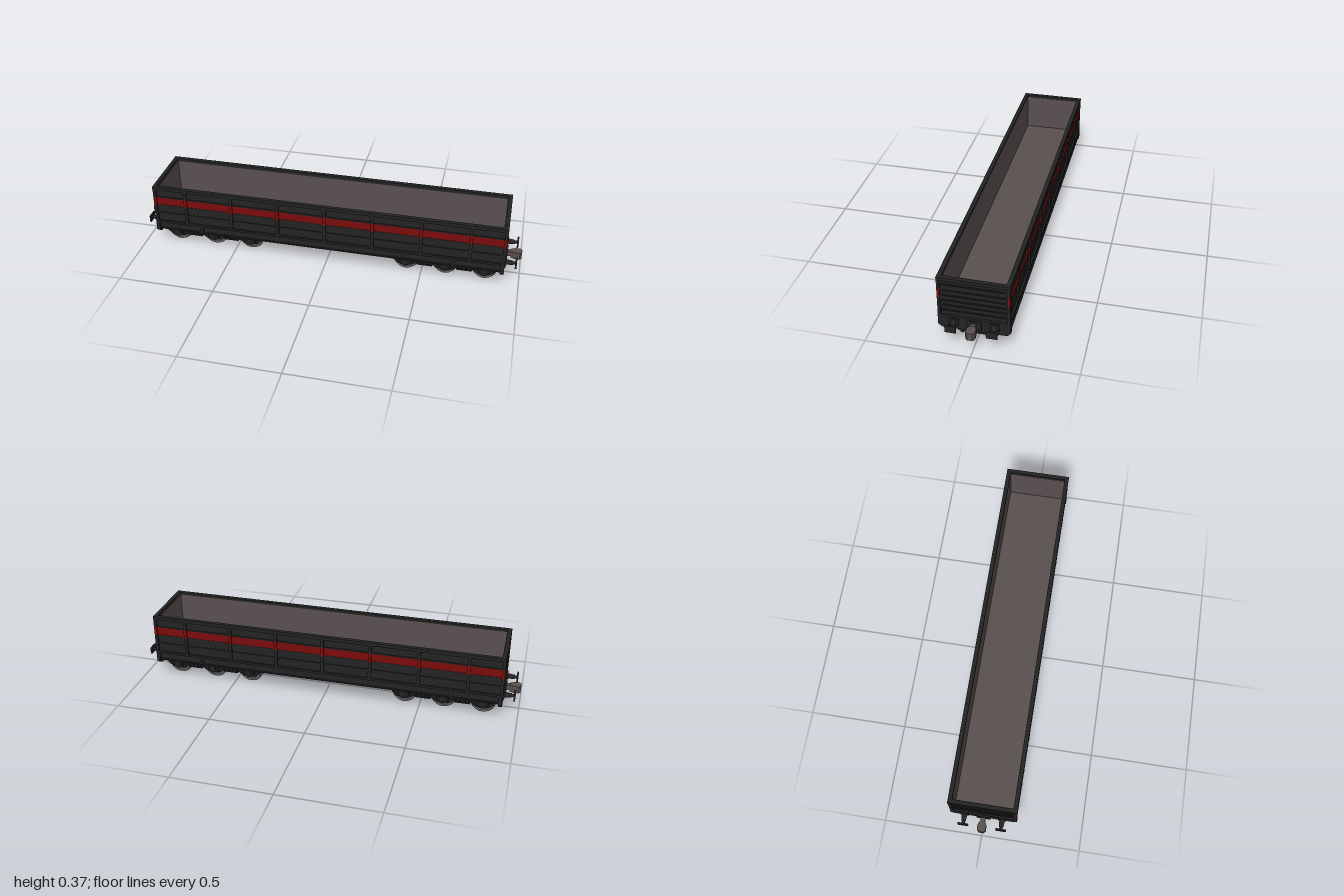
import * as THREE from 'three';

const mat = (name, color, side = THREE.FrontSide) => {
  const m = new THREE.MeshStandardMaterial({ color, side });
  m.name = name;
  return m;
};

export function createModel() {
  const wagon = new THREE.Group();
  wagon.name = 'gondolaWagon';
  const black = mat('blackPaint', 0x242424);
  const dark = mat('bogieBlack', 0x1b1b1b);
  const red = mat('redStripe', 0x7c0c0c);
  const grey = mat('interiorGrey', 0x5a5050);
  const steel = mat('wheelSteel', 0x6a6868);

  const add = (parent, name, geo, m, x = 0, y = 0, z = 0) => {
    const mesh = new THREE.Mesh(geo, m);
    mesh.name = name;
    mesh.position.set(x, y, z);
    parent.add(mesh);
    return mesh;
  };
  // Box given by its lower and upper limits
  const span = (parent, name, m, x0, x1, y0, y1, z0, z1) =>
    add(parent, name, new THREE.BoxGeometry(x1 - x0, y1 - y0, z1 - z0), m,
      (x0 + x1) / 2, (y0 + y1) / 2, (z0 + z1) / 2);
  // Extruded outline, centred on its own depth
  const plate = (points, depth) => {
    const shape = new THREE.Shape(points.map(p => new THREE.Vector2(...p)));
    return new THREE.ExtrudeGeometry(shape, { depth, bevelEnabled: false }).translate(0, 0, -depth / 2);
  };

  // Floor with grey underside
  span(wagon, 'floor', grey, -0.905, 0.905, 0.14, 0.158, -0.15, 0.15);

  // Side walls; each group is built facing +z and turned for the far side
  for (const turn of [0, Math.PI]) {
    const side = new THREE.Group();
    side.name = turn ? 'backSide' : 'frontSide';
    side.rotation.y = turn;
    wagon.add(side);
    span(side, 'wall', black, -0.912, 0.912, 0.155, 0.352, 0.151, 0.158);
    span(side, 'wallLining', grey, -0.9, 0.9, 0.158, 0.352, 0.148, 0.1515);
    span(side, 'topRail', black, -0.92, 0.92, 0.348, 0.365, 0.148, 0.169);
    span(side, 'stripe', red, -0.919, 0.919, 0.255, 0.303, 0.157, 0.161);
    for (const y of [0.207, 0.255, 0.303])
      span(side, 'plankRib', black, -0.915, 0.915, y - 0.003, y + 0.003, 0.157, 0.163);
    span(side, 'lowerRail', black, -0.92, 0.92, 0.148, 0.16, 0.151, 0.167);
    span(side, 'sill', black, -0.915, 0.915, 0.11, 0.15, 0.146, 0.16);
    span(side, 'sillFlange', black, -0.915, 0.915, 0.108, 0.115, 0.135, 0.166);
    for (const x of [-0.912, -0.745, -0.497, -0.248, 0, 0.248, 0.497, 0.745, 0.912]) {
      const w = 0.008;
      span(side, 'post', black, x - w, x + w, 0.155, 0.254, 0.155, 0.168);
      span(side, 'postStripe', red, x - w, x + w, 0.254, 0.304, 0.155, 0.168);
      span(side, 'post', black, x - w, x + w, 0.304, 0.35, 0.155, 0.168);
    }
    for (const x of [-0.665, 0.665])
      span(side, 'sillBracket', black, x - 0.008, x + 0.008, 0.11, 0.15, 0.155, 0.167);
  }

  // Ends with headstock, buffers and coupler, built facing +x
  for (const turn of [0, Math.PI]) {
    const end = new THREE.Group();
    end.name = turn ? 'rightEnd' : 'leftEnd';
    end.rotation.y = turn;
    wagon.add(end);
    span(end, 'endWall', black, 0.901, 0.91, 0.15, 0.352, -0.155, 0.155);
    span(end, 'endLining', grey, 0.897, 0.9015, 0.158, 0.352, -0.15, 0.15);
    span(end, 'endTopRail', black, 0.9, 0.92, 0.348, 0.365, -0.168, 0.168);
    for (const y of [0.182, 0.21, 0.237, 0.265, 0.293, 0.325])
      span(end, 'endRib', black, 0.905, 0.916, y - 0.003, y + 0.003, -0.145, 0.145);
    const head = plate([[-0.169, 0.155], [-0.169, 0.102], [-0.152, 0.086], [0.152, 0.086],
      [0.169, 0.102], [0.169, 0.155]], 0.02);
    add(end, 'headstock', head.rotateY(Math.PI / 2), black, 0.91);
    for (const z of [-0.095, 0.095]) {
      span(end, 'bufferBase', black, 0.918, 0.926, 0.107, 0.147, z - 0.022, z + 0.022);
      add(end, 'bufferSleeve', new THREE.CylinderGeometry(0.011, 0.014, 0.035, 16).rotateZ(-Math.PI / 2),
        black, 0.942, 0.127, z);
      add(end, 'bufferStem', new THREE.CylinderGeometry(0.008, 0.008, 0.02, 12).rotateZ(Math.PI / 2),
        black, 0.965, 0.127, z);
      span(end, 'bufferHead', black, 0.971, 0.979, 0.109, 0.145, z - 0.026, z + 0.026);
    }
    span(end, 'couplerFrame', black, 0.918, 0.928, 0.097, 0.146, -0.035, 0.035);
    span(end, 'couplerShank', grey, 0.92, 0.962, 0.108, 0.134, -0.012, 0.012);
    const knuckle = plate([[0.945, -0.012], [0.965, -0.022], [0.99, -0.022], [1, -0.012],
      [1, 0.012], [0.99, 0.022], [0.965, 0.022], [0.945, 0.012]], 0.038);
    add(end, 'couplerHead', knuckle.rotateX(Math.PI / 2), grey, 0, 0.119);
  }

  // Fish-bellied underframe between the bogies
  const belly = [[-0.36, 0.142], [-0.36, 0.083], [-0.27, 0.055], [0.27, 0.055], [0.36, 0.083], [0.36, 0.142]];
  for (const z of [-0.06, 0.06]) {
    add(wagon, 'centreBeam', plate(belly, 0.01), grey, 0, 0, z);
    span(wagon, 'beamFlange', grey, -0.27, 0.27, 0.052, 0.058, z - 0.014, z + 0.014);
  }
  span(wagon, 'draftSill', grey, -0.9, 0.9, 0.095, 0.142, -0.035, 0.035);
  for (const x of [-0.27, 0, 0.27]) {
    const arm = plate([[-0.148, 0.142], [-0.148, 0.112], [-0.065, 0.06], [0.065, 0.06],
      [0.148, 0.112], [0.148, 0.142]], 0.01);
    add(wagon, 'crossBeam', arm.rotateY(Math.PI / 2), grey, x);
    for (const z of [-0.068, 0.068])
      span(wagon, 'beamStiffener', black, x - 0.007, x + 0.007, 0.062, 0.14, z - 0.004, z + 0.004);
  }
  for (const x of [-0.135, 0.135])
    span(wagon, 'crossBeam', grey, x - 0.004, x + 0.004, 0.112, 0.142, -0.147, 0.147);

  // Wheel profile: flange on the inner side, raised rim and hub
  const wheelGeo = new THREE.LatheGeometry([[0, 0], [0.064, 0], [0.064, 0.006], [0.057, 0.008],
    [0.056, 0.02], [0.045, 0.02], [0.042, 0.013], [0.02, 0.013], [0.016, 0.022], [0, 0.022]]
    .map(p => new THREE.Vector2(...p)), 28).toNonIndexed();
  wheelGeo.computeVertexNormals();
  wheelGeo.rotateX(Math.PI / 2);

  // Three-axle bogies
  const frame = [[-0.262, 0.105], [-0.262, 0.068], [-0.235, 0.045], [-0.17, 0.045], [-0.145, 0.062],
    [-0.06, 0.062], [-0.035, 0.045], [0.035, 0.045], [0.06, 0.062], [0.145, 0.062],
    [0.17, 0.045], [0.235, 0.045], [0.262, 0.068], [0.262, 0.105]];
  for (const cx of [-0.62, 0.62]) {
    const bogie = new THREE.Group();
    bogie.name = 'bogie';
    bogie.position.x = cx;
    wagon.add(bogie);
    span(bogie, 'bogieBed', dark, -0.262, 0.262, 0.04, 0.062, -0.067, 0.067);
    span(bogie, 'bolster', dark, -0.05, 0.05, 0.075, 0.14, -0.11, 0.11);
    for (const x of [-0.25, 0.25])
      span(bogie, 'endTransom', dark, x - 0.008, x + 0.008, 0.062, 0.085, -0.1, 0.1);
    for (const x of [-0.202, 0, 0.202])
      add(bogie, 'axle', new THREE.CylinderGeometry(0.01, 0.01, 0.22, 12).rotateX(Math.PI / 2), steel, x, 0.064, 0);
    for (const turn of [0, Math.PI]) {
      const side = new THREE.Group();
      side.name = 'bogieSide';
      side.rotation.y = turn;
      bogie.add(side);
      add(side, 'sideFrame', plate(frame, 0.016), dark, 0, 0, 0.105);
      for (const x of [-0.202, 0, 0.202]) {
        add(side, 'wheel', wheelGeo, steel, x, 0.064, 0.072);
        add(side, 'axleBox', new THREE.CylinderGeometry(0.03, 0.032, 0.014, 16).rotateX(Math.PI / 2),
          dark, x, 0.074, 0.117);
        add(side, 'axleCap', new THREE.CylinderGeometry(0.016, 0.016, 0.006, 6).rotateX(Math.PI / 2),
          black, x, 0.074, 0.126);
      }
      // Spring groups between the axles
      for (const x of [-0.101, 0.101]) {
        span(side, 'springSeat', dark, x - 0.04, x + 0.04, 0.062, 0.07, 0.11, 0.127);
        for (const dx of [-0.022, 0, 0.022])
          add(side, 'spring', new THREE.CylinderGeometry(0.007, 0.007, 0.03, 10), black, x + dx, 0.085, 0.119);
        span(side, 'springCap', dark, x - 0.04, x + 0.04, 0.1, 0.107, 0.1, 0.127);
      }
    }
  }
  return wagon;
}
